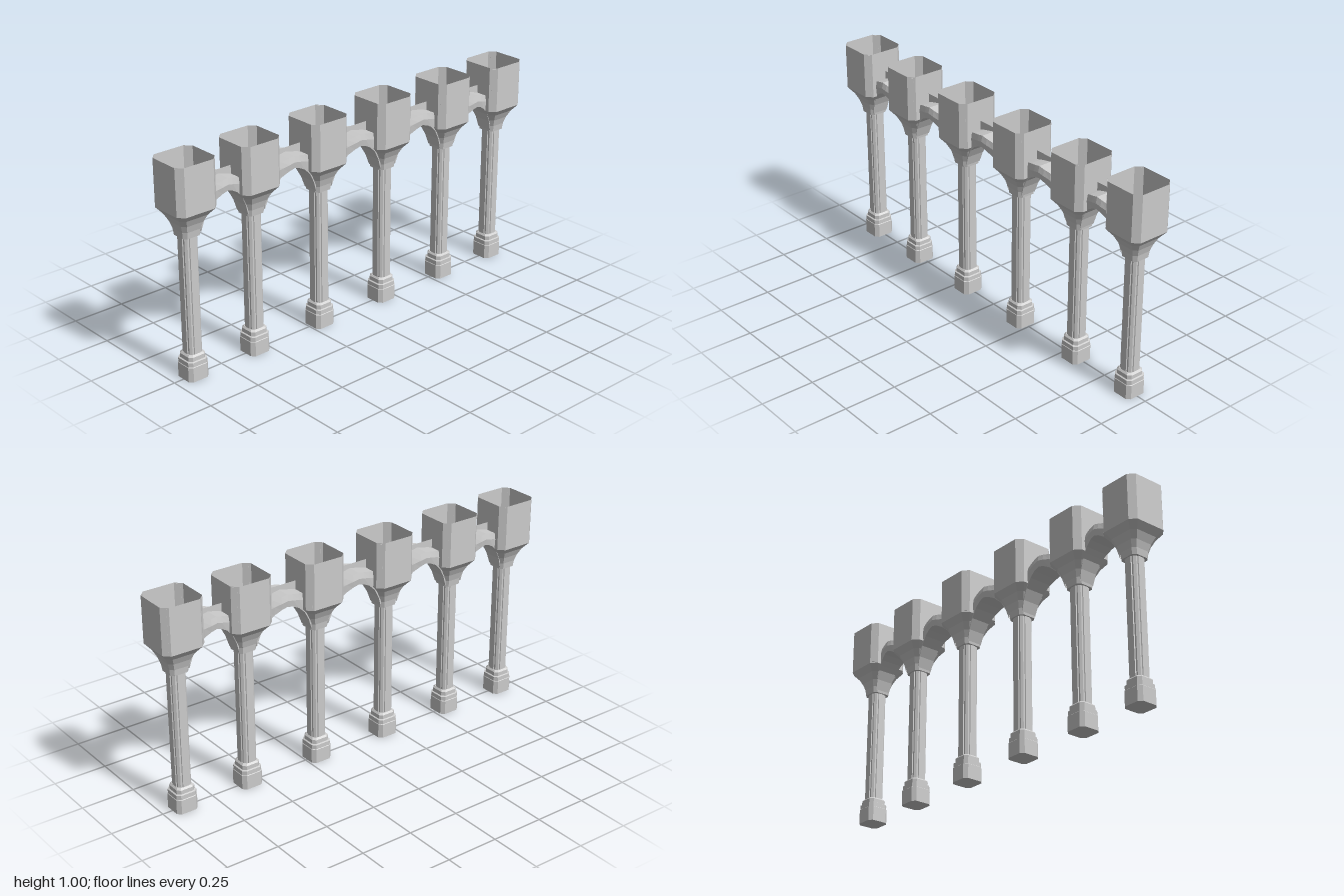
import * as THREE from 'three';

const material = new THREE.MeshStandardMaterial({ color: 0xcccccc, flatShading: true, side: THREE.DoubleSide });

function addMesh(parent, name, geometry) {
  const mesh = new THREE.Mesh(geometry, material);
  mesh.name = name;
  parent.add(mesh);
  return mesh;
}

// Joins closed cross-sections (equal point counts) into a faceted skin.
function loft(rings, capStart = false, capEnd = false) {
  const n = rings[0].length;
  const index = [];
  for (let r = 0; r < rings.length - 1; r++) {
    for (let i = 0; i < n; i++) {
      const a = r * n + i, b = r * n + (i + 1) % n;
      index.push(a, a + n, b, b, a + n, b + n);
    }
  }
  const last = (rings.length - 1) * n;
  for (let i = 1; i < n - 1; i++) {
    if (capStart) index.push(0, i, i + 1);
    if (capEnd) index.push(last, last + i + 1, last + i);
  }
  const geometry = new THREE.BufferGeometry();
  geometry.setAttribute('position', new THREE.Float32BufferAttribute(rings.flat(2), 3));
  geometry.setIndex(index);
  const faceted = geometry.toNonIndexed();
  faceted.computeVertexNormals();
  return faceted;
}

// Square ring with cut corners: half width h, corner cut c, height y.
function cutSquare([h, c, y]) {
  const k = h - c;
  return [[h, k], [k, h], [-k, h], [-h, k], [-h, -k], [-k, -h], [k, -h], [h, -k]]
    .map(([x, z]) => [x, y, -z]).reverse();
}

// Clustered shaft: four flat faces, four diagonal faces, stepped notches between.
function shaftRing(y) {
  const ring = [];
  const quarter = [[0.037, -0.014], [0.037, 0.014], [0.033, 0.016], [0.033, 0.024],
    [0.024, 0.033], [0.016, 0.033]];
  for (let q = 0; q < 4; q++) {
    const c = Math.round(Math.cos(q * Math.PI / 2)), s = Math.round(Math.sin(q * Math.PI / 2));
    for (const [x, z] of quarter) ring.push([x * c - z * s, y, x * s + z * c]);
  }
  return ring;
}

function createColumn() {
  const column = new THREE.Group();
  column.name = 'column';

  // Stepped plinth
  const base = [[0.052, 0.016, 0], [0.052, 0.016, 0.068], [0.05, 0.015, 0.07], [0.05, 0.015, 0.09],
    [0.044, 0.014, 0.093], [0.044, 0.014, 0.112], [0.037, 0.012, 0.12]];
  addMesh(column, 'base', loft(base.map(cutSquare), true, true));

  addMesh(column, 'shaft', loft([shaftRing(0.115), shaftRing(0.67)]));

  // Flared capital with a closed bottom
  const capital = [[0.044, 0.014, 0.66], [0.048, 0.015, 0.69], [0.058, 0.017, 0.722],
    [0.075, 0.021, 0.755], [0.1, 0.027, 0.785]];
  addMesh(column, 'capital', loft(capital.map(cutSquare), true));

  // Open head with thin walls
  addMesh(column, 'head', loft([[0.1, 0.027, 0.785], [0.1, 0.027, 1]].map(cutSquare)));

  // Narrow panels on the cut corners
  for (const sx of [-1, 1]) {
    for (const sz of [-1, 1]) {
      const panel = addMesh(column, 'cornerPanel', new THREE.BoxGeometry(0.018, 0.205, 0.002));
      panel.position.set(sx * 0.0865, 0.893, sz * 0.0865);
      panel.rotation.y = Math.atan2(sx, sz);
    }
  }
  return column;
}

// Pointed arch band plus the thin wall standing on it.
function createArch(span) {
  const arch = new THREE.Group();
  arch.name = 'arch';
  const reach = span / 2 - 0.045;
  // distance from crown, underside, moulding, top, half width
  const half = [[0, 0.825, 0.853, 0.88, 0.07], [0.2, 0.817, 0.847, 0.874, 0.068],
    [0.44, 0.799, 0.838, 0.866, 0.061], [0.7, 0.765, 0.824, 0.855, 0.051],
    [0.88, 0.72, 0.805, 0.84, 0.045], [1, 0.67, 0.785, 0.82, 0.04]];
  const stations = [
    ...half.slice(1).reverse().map(([d, ...rest]) => [-d, ...rest]),
    ...half,
  ];
  const rings = stations.map(([d, low, mid, top, w]) => {
    const z = d * reach;
    return [[w * 0.94, low, z], [w, mid, z], [w * 0.9, top, z],
      [-w * 0.9, top, z], [-w, mid, z], [-w * 0.94, low, z]].reverse();
  });
  addMesh(arch, 'archBand', loft(rings));

  const gap = span / 2 - 0.1;
  const wall = addMesh(arch, 'archWall', new THREE.PlaneGeometry(2 * gap, 0.06));
  wall.rotation.y = Math.PI / 2;
  wall.position.y = 0.87;
  return arch;
}

export function createModel() {
  const model = new THREE.Group();
  model.name = 'arcade';
  const rows = [-0.9, -0.565, -0.19, 0.19, 0.565, 0.9];
  rows.forEach((z, i) => {
    const column = createColumn();
    column.position.z = z;
    model.add(column);
    if (i === 0) return;
    const arch = createArch(z - rows[i - 1]);
    arch.position.z = (z + rows[i - 1]) / 2;
    model.add(arch);
  });
  return model;
}
